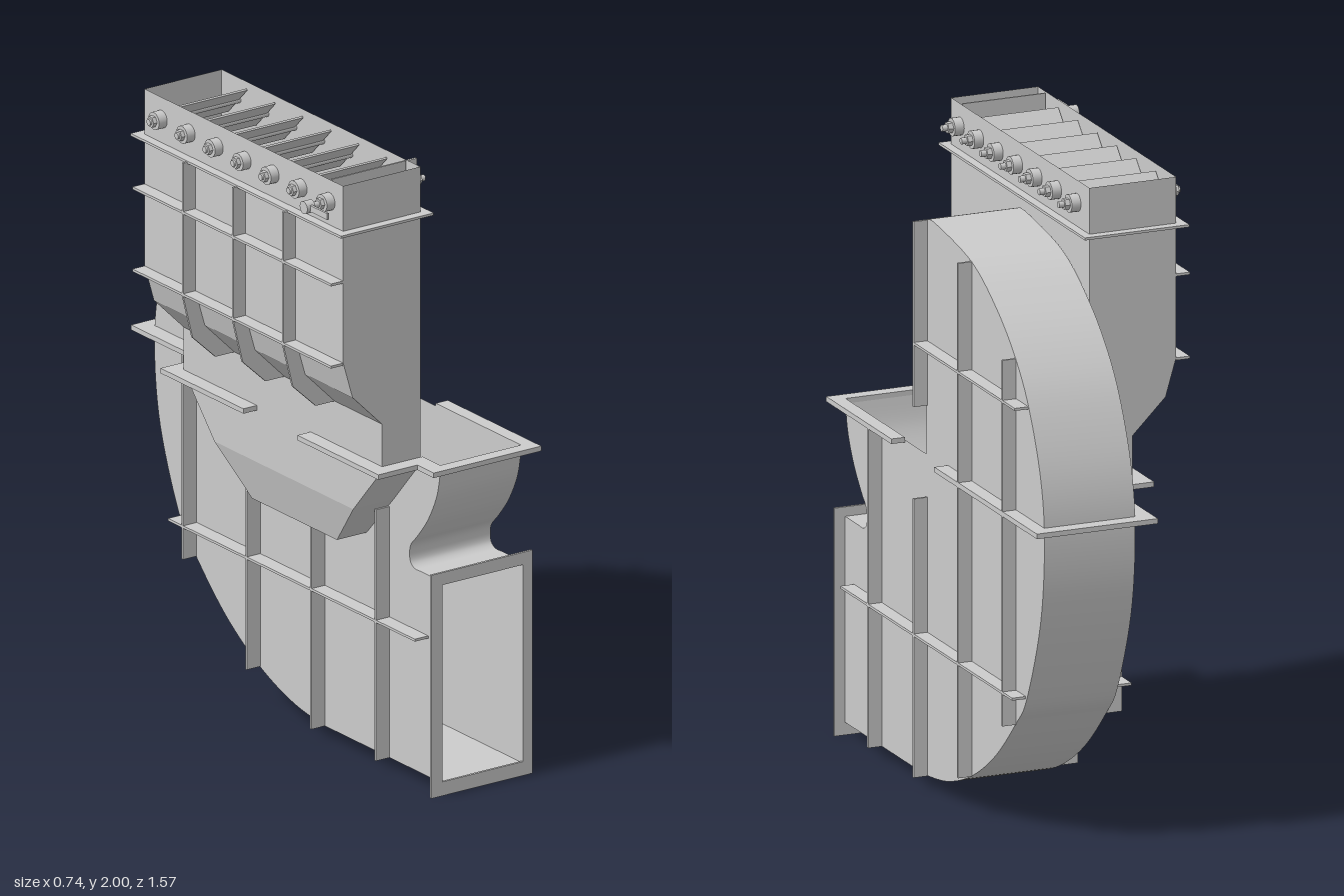
import * as THREE from 'three';

const smooth = new THREE.MeshStandardMaterial({ color: 0xcccccc, side: THREE.DoubleSide });
const flat = new THREE.MeshStandardMaterial({ color: 0xcccccc, side: THREE.DoubleSide, flatShading: true });
const X0 = 0.02, X1 = 0.32, SPLIT = 1.055, CZ = 0.14, T = 0.008;
const v2 = (a) => a.map(([x, y]) => new THREE.Vector2(x, y));

export function createModel() {
  const root = new THREE.Group();

  const add = (name, geo, mat = flat, parent = root) => {
    const m = new THREE.Mesh(geo, mat);
    m.name = name;
    parent.add(m);
    return m;
  };
  // box given by its min/max corners
  const box = (name, x0, x1, y0, y1, z0, z1) => {
    const m = add(name, new THREE.BoxGeometry(x1 - x0, y1 - y0, z1 - z0));
    m.position.set((x0 + x1) / 2, (y0 + y1) / 2, (z0 + z1) / 2);
    return m;
  };
  // surface joining a series of equal-length cross-sections
  const loft = (rows) => {
    const n = rows[0].length, idx = [];
    for (let i = 0; i < rows.length - 1; i++)
      for (let j = 0; j < n - 1; j++) {
        const a = i * n + j, b = a + n;
        idx.push(a, b, a + 1, b, b + 1, a + 1);
      }
    const g = new THREE.BufferGeometry();
    g.setAttribute('position', new THREE.Float32BufferAttribute(rows.flat(2), 3));
    g.setIndex(idx);
    g.computeVertexNormals();
    return g;
  };
  // sheet following a (z, y) outline across the casing width
  const rim = (name, pts) =>
    add(name, loft(pts.map((p) => [[X0, p.y, p.x], [X1, p.y, p.x]])), smooth);
  // flat sheet in the (z, y) plane
  const sheet = (name, shape, x) => {
    const g = new THREE.ShapeGeometry(shape, 32);
    g.rotateY(-Math.PI / 2);
    add(name, g).position.x = x;
  };

  // ---- Scroll casing ----
  const spiral = new THREE.SplineCurve(v2([
    [CZ, 1.795], [0.07, 1.8], [-0.195, 1.755], [-0.38, 1.66], [-0.525, 1.54], [-0.63, 1.4],
    [-0.715, 1.2], [-0.74, 1.0], [-0.71, 0.75], [-0.61, 0.49], [-0.525, 0.385],
    [-0.37, 0.24], [-0.195, 0.13], [-0.02, 0.065], [CZ, 0.04],
  ])).getPoints(96);
  const throat = new THREE.SplineCurve(v2([
    [0.745, SPLIT], [0.725, 0.96], [0.68, 0.87], [0.625, 0.8], [0.592, 0.765],
    [0.583, 0.735], [0.588, 0.705], [0.61, 0.69], [0.64, 0.69],
  ])).getPoints(48);
  const outline = [...spiral, ...v2([[0.75, 0.04], [0.75, 0.69]]), ...throat.slice().reverse()];
  const rimPts = [...spiral, ...v2([[0.2, 0.04], [0.75, 0.04]])];
  rim('scrollRim', rimPts);
  rim('throatSheet', [...throat, ...v2([[0.75, 0.69]])]);

  sheet('outerSidePlate', new THREE.Shape([...outline, ...v2([[CZ, SPLIT]])]), X1);
  // inner plate is cut back around the inlet eye
  const R = 0.25, eye = [];
  for (let i = 0; i <= 48; i++) {
    const a = -i / 48 * Math.PI * 1.5;
    eye.push(new THREE.Vector2(CZ + R * Math.cos(a), SPLIT + R * Math.sin(a)));
  }
  sheet('innerSidePlate', new THREE.Shape([...outline, ...eye]), X0);

  // inlet bell mouth
  const bell = new THREE.SplineCurve(v2([
    [0.285, 0], [0.26, 0.012], [0.242, 0.03], [0.233, 0.055], [0.23, 0.09],
  ])).getPoints(14);
  const bellGeo = new THREE.LatheGeometry(bell, 64);
  bellGeo.rotateZ(-Math.PI / 2);
  add('inletBell', bellGeo, smooth).position.set(X0, SPLIT, CZ);

  // ---- Outlet flange ----
  const frame = new THREE.Shape(v2([[-0.02, 0], [0.355, 0], [0.355, 0.72], [-0.02, 0.72]]));
  frame.holes.push(new THREE.Path(v2([[X0, 0.045], [X0, 0.68], [X1, 0.68], [X1, 0.045]])));
  add('outletFlange', new THREE.ExtrudeGeometry(frame, { depth: T, bevelEnabled: false })).position.z = 0.745;

  // ---- Horizontal split flange ----
  const split = (x0, x1, z0, z1) => box('splitFlange', x0, x1, SPLIT - T, SPLIT + T, z0, z1);
  split(-0.035, 0.365, 0.742, 0.785);
  split(-0.035, 0.365, -0.785, -0.738);
  split(X1, 0.365, 0.3, 0.742);
  split(X1, 0.365, -0.738, -0.02);
  split(-0.035, X0, 0.65, 0.742);
  split(-0.035, X0, -0.738, -0.38);
  split(-0.18, -0.035, 0.65, 0.7);
  split(-0.18, -0.035, -0.43, -0.38);
  split(-0.18, -0.13, 0.28, 0.65);
  split(-0.18, -0.13, -0.38, 0);

  // ---- Casing stiffeners ----
  const h = T / 2;
  const outerV = [[0.475, 0.04, SPLIT], [CZ - h, 0.04, 0.92], [CZ - h, 1.21, 1.795],
    [-0.195, 0.13, 1.755], [-0.525, 0.385, 1.54]];
  for (const [z, a, b] of outerV) box('outerRib', X1, 0.365, a, b, z - h, z + h);
  for (const [y, a, b] of [[1.41, -0.62, CZ], [0.49, -0.6, 0.68]])
    box('outerCrossRib', X1, 0.365, y - h, y + h, a, b);
  const innerV = [[0.475, 0.04, 0.85], [CZ, 0.04, 0.73], [-0.195, 0.13, 0.85], [-0.525, 0.385, SPLIT]];
  for (const [z, a, b] of innerV) box('innerRib', -0.03, X0, a, b, z - h, z + h);
  box('innerCrossRib', -0.03, X0, 0.49 - h, 0.49 + h, -0.6, 0.68);

  // ---- Inlet box ----
  const XB = 0.012, ZA = -0.38, ZB = 0.65;
  const back = [[-0.275, 2], [-0.275, 1.43], [-0.24, 1.31], [-0.13, 1.2], [-0.13, SPLIT]];
  add('inletBoxBack', loft(back.map(([x, y]) => [[x, y, ZA], [x, y, ZB]])));
  for (const z of [ZA, ZB])
    add('inletBoxEnd', new THREE.ShapeGeometry(new THREE.Shape(v2([...back, [XB, SPLIT], [XB, 2]])))).position.z = z;
  const wall = new THREE.Shape(v2([[ZA, SPLIT], [CZ - R, SPLIT]]));
  wall.absarc(CZ, SPLIT, R, Math.PI, 0, true);
  for (const [z, y] of [[ZB, SPLIT], [ZB, 2], [ZA, 2]]) wall.lineTo(z, y);
  sheet('inletBoxFront', wall, XB);

  // tapered lower half of the inlet box
  const levels = [[SPLIT, -0.13, 0.515], [0.88, -0.13, 0.36], [0.73, -0.09, 0.22]];
  add('inletTrough', loft(levels.map(([y, x, w]) =>
    [[X0, y, CZ + w], [x, y, CZ + w], [x, y, CZ - w], [X0, y, CZ - w]])));
  box('troughFloor', -0.09, X0, 0.73, 0.734, CZ - 0.22, CZ + 0.22);

  // damper seat flange, as a frame round the box
  const seat = (x0, x1, z0, z1) => box('damperFlange', x0, x1, 1.85 - h, 1.85 + h, z0, z1);
  seat(-0.305, 0.04, ZB, 0.68);
  seat(-0.305, 0.04, -0.41, ZA);
  seat(-0.305, -0.275, ZA, ZB);
  seat(XB, 0.04, ZA, ZB);

  // inlet box stiffeners
  const ribShape = new THREE.Shape(v2([[-0.275, 1.85], [-0.32, 1.85], [-0.32, 1.42], [-0.285, 1.28],
    [-0.2, 1.2], [-0.13, 1.2], [-0.24, 1.31], [-0.275, 1.43]]));
  for (const z of [-0.12, CZ, 0.4])
    add('inletBoxRib', new THREE.ExtrudeGeometry(ribShape, { depth: T, bevelEnabled: false })).position.z = z - h;
  for (const y of [1.69, 1.425]) box('inletBoxCrossRib', -0.32, -0.275, y - h, y + h, ZA, ZB);

  // ---- Damper blades, shafts and bearings ----
  const DY = 1.93;
  const rod = (name, r, x0, x1, z, seg = 20) => {
    const g = new THREE.CylinderGeometry(r, r, x1 - x0, seg);
    g.rotateZ(Math.PI / 2);
    add(name, g, seg > 6 ? smooth : flat).position.set((x0 + x1) / 2, DY, z);
  };
  for (let i = 0; i < 7; i++) {
    const z = 0.58 - i * 0.145;
    const blade = box('damperBlade', -0.268, 0.006, DY - 0.07, DY + 0.07, z - 0.003, z + 0.003);
    if (i > 0) blade.rotation.x = Math.PI / 4;
    rod('damperShaft', 0.01, i ? -0.325 : -0.36, 0.075, z);
    rod('bearing', 0.028, XB, 0.042, z);
    rod('bearingNut', 0.018, 0.042, 0.058, z, 6);
    rod('bearing', 0.028, -0.305, -0.275, z);
    rod('bearingNut', 0.018, -0.318, -0.305, z, 6);
  }
  rod('leverHub', 0.02, -0.372, -0.342, 0.58);
  box('lever', -0.36, -0.352, DY - 0.01, DY + 0.01, 0.58, 0.685);

  return root;
}
